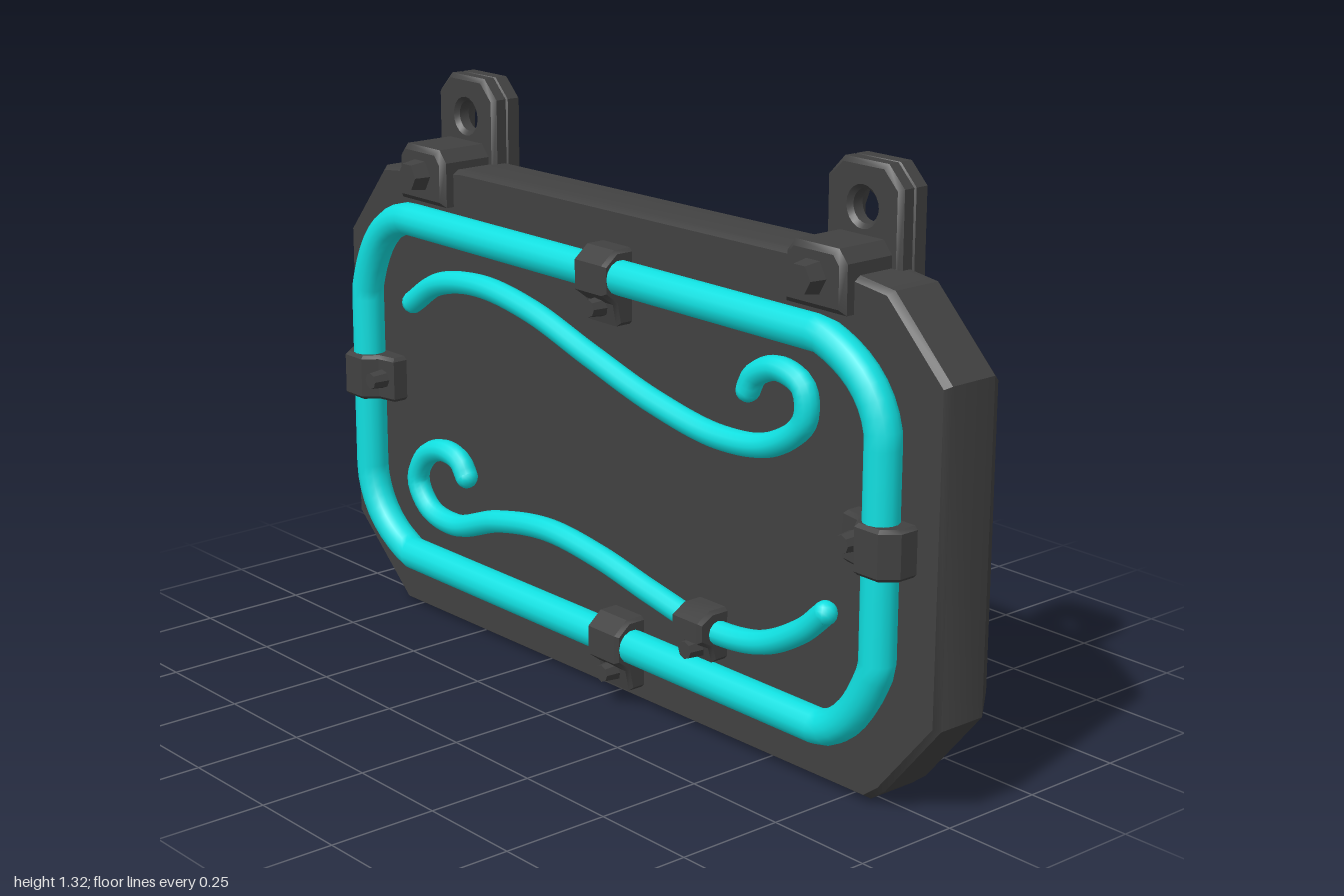
import * as THREE from 'three';
import { toCreasedNormals } from 'three/addons/utils/BufferGeometryUtils.js';

const V = (x, y, z) => new THREE.Vector3(x, y, z);
const shapeOf = pts => new THREE.Shape(pts.map(p => new THREE.Vector2(p[0], p[1])));

export function createModel() {
  const model = new THREE.Group();
  const metal = new THREE.MeshStandardMaterial({ color: 0x414141 });
  metal.name = 'dark metal';
  const neon = new THREE.MeshStandardMaterial({ color: 0x10dfe0 });
  neon.name = 'cyan tubing';

  function add(parent, name, geometry, material = metal, crease = 0.6) {
    const mesh = new THREE.Mesh(crease ? toCreasedNormals(geometry, crease) : geometry, material);
    mesh.name = name;
    parent.add(mesh);
    return mesh;
  }

  // Extrusion with a small bevel, kept between z0 and z1
  function slab(shape, z0, z1, b = 0.01) {
    const g = new THREE.ExtrudeGeometry(shape, {
      depth: z1 - z0 - 2 * b, bevelEnabled: true, bevelSize: b, bevelOffset: -b,
      bevelThickness: b, bevelSegments: 1, curveSegments: 10
    });
    return g.translate(0, 0, z0 + b);
  }

  // Board: outline lofted through depth, bevelled strongly at the back
  function boardGeometry() {
    const outline = [[-0.8, 0.01], [0.81, 0.02], [0.85, 0.05], [1, 0.23], [1, 0.95], [0.84, 1.11],
      [0.58, 1.145], [-0.55, 1.135], [-0.86, 1.1], [-1, 0.93], [-1, 0.78], [-0.965, 0.74],
      [-0.965, 0.37], [-1, 0.33], [-1, 0.19]];
    const layers = [[-0.145, 0.045], [-0.085, 0], [0.035, 0], [0.05, 0.01]];
    const n = outline.length, pos = [], idx = [];
    for (const [z, inset] of layers)
      for (const [x, y] of outline)
        pos.push(x * (1 - inset), 0.575 + (y - 0.575) * (1 - inset / 0.57), z);
    for (let i = 0; i < layers.length - 1; i++)
      for (let j = 0; j < n; j++) {
        const k = (j + 1) % n, a = i * n, b = a + n;
        idx.push(a + j, a + k, b + k, a + j, b + k, b + j);
      }
    const top = (layers.length - 1) * n;
    const caps = THREE.ShapeUtils.triangulateShape(outline.map(p => new THREE.Vector2(...p)), []);
    for (const [a, b, c] of caps) idx.push(a, c, b, top + a, top + b, top + c);
    const g = new THREE.BufferGeometry();
    g.setAttribute('position', new THREE.Float32BufferAttribute(pos, 3));
    g.setIndex(idx);
    return g;
  }
  add(model, 'board', boardGeometry());

  // Border tube: straight runs joined by softened corners
  const zf = 0.084;
  const corners = [ // start, control, end, control
    [[-0.72, 0.16], [0.7, 0.16], [0.8, 0.175], [0.865, 0.34]],
    [[0.865, 0.34], [0.865, 0.83], [0.845, 0.95], [0.69, 1]],
    [[0.69, 1], [-0.71, 1], [-0.84, 0.98], [-0.885, 0.8]],
    [[-0.885, 0.8], [-0.885, 0.34], [-0.865, 0.21], [-0.72, 0.16]]
  ];
  const border = new THREE.CurvePath();
  for (const [a, b, c, d] of corners) {
    border.add(new THREE.LineCurve3(V(...a, zf), V(...b, zf)));
    border.add(new THREE.QuadraticBezierCurve3(V(...b, zf), V(...c, zf), V(...d, zf)));
  }
  add(model, 'borderTube', new THREE.TubeGeometry(border, 160, 0.039, 14, true), neon, 0);

  // Curled tubes with rounded ends
  function curl(name, pts) {
    const path = pts.map(p => V(p[0], p[1], 0.076));
    const group = new THREE.Group();
    group.name = name;
    model.add(group);
    const curve = new THREE.CatmullRomCurve3(path);
    add(group, 'curlTube', new THREE.TubeGeometry(curve, 110, 0.027, 12), neon, 0);
    for (const end of [path[0], path[path.length - 1]])
      add(group, 'tubeEnd', new THREE.SphereGeometry(0.027, 12, 8), neon, 0).position.copy(end);
  }
  curl('upperCurl', [[-0.71, 0.795], [-0.61, 0.857], [-0.45, 0.884], [-0.26, 0.862], [-0.045, 0.8],
    [0.17, 0.742], [0.38, 0.712], [0.54, 0.734], [0.635, 0.805], [0.63, 0.875], [0.555, 0.9],
    [0.485, 0.87], [0.465, 0.835]]);
  curl('lowerCurl', [[-0.51, 0.405], [-0.535, 0.438], [-0.6, 0.45], [-0.67, 0.42], [-0.705, 0.353],
    [-0.66, 0.29], [-0.555, 0.273], [-0.39, 0.325], [-0.205, 0.353], [-0.02, 0.337], [0.17, 0.3],
    [0.356, 0.272], [0.517, 0.29], [0.64, 0.353], [0.705, 0.41]]);

  // Clamp: a hump over the tube and a bolted flange pointing along (dx, dy)
  function clamp(name, x, y, dx, dy, width, s = 1) {
    const group = new THREE.Group();
    group.name = name;
    model.add(group);
    const profile = shapeOf([[-0.066, 0.04], [-0.066, 0.095], [-0.036, 0.131], [0.03, 0.131],
      [0.055, 0.098], [0.105, 0.088], [0.105, 0.04]].map(([u, z]) => [u * s, z]));
    add(group, 'strap', slab(profile, -width / 2, width / 2, 0.008));
    const bolt = add(group, 'bolt', new THREE.CylinderGeometry(0.02, 0.025, 0.05, 8));
    bolt.position.set(0.066 * s, 0.106, 0);
    const d = V(dx, dy, 0), z = V(0, 0, 1);
    group.quaternion.setFromRotationMatrix(
      new THREE.Matrix4().makeBasis(d, z, d.clone().cross(z)));
    group.position.set(x, y, 0);
  }
  clamp('topClamp', 0.012, 0.995, 0, -1, 0.105);
  clamp('bottomClamp', 0.053, 0.157, 0, -1, 0.105);
  clamp('rightClamp', -0.885, 0.585, 1, 0, 0.11);
  clamp('leftClamp', 0.867, 0.597, -1, 0, 0.11);
  clamp('curlClamp', 0.333, 0.277, 0, -1, 0.095, 0.7);

  // Hanging brackets: holed plate, arched back rim, ramp, foot and hex bolt
  function hanger(name, x) {
    const group = new THREE.Group();
    group.name = name;
    group.position.x = x;
    model.add(group);
    const outer = [[-0.107, 1.04], [0.107, 1.04], [0.107, 1.285], [0.062, 1.33],
      [-0.062, 1.33], [-0.107, 1.285]];
    const plate = shapeOf(outer);
    plate.holes.push(new THREE.Path().absarc(0, 1.235, 0.036, 0, Math.PI * 2, true));
    add(group, 'eyePlate', slab(plate, -0.1, -0.054));

    const rim = shapeOf([...outer.slice(1), outer[0], [-0.07, 1.04], [-0.064, 1.22],
      [-0.045, 1.27], [0, 1.29], [0.045, 1.27], [0.064, 1.22], [0.07, 1.04]]);
    add(group, 'backRim', slab(rim, -0.135, -0.09, 0.007));

    const ramp = new THREE.ExtrudeGeometry(
      shapeOf([[0.09, 1.04], [0.132, 1.04], [0.132, 1.08], [0.095, 1.185], [0.09, 1.185]]),
      { depth: 0.136, bevelEnabled: false });
    ramp.rotateY(Math.PI / 2).translate(-0.068, 0, 0);
    add(group, 'ramp', ramp);

    const foot = shapeOf([[-0.086, 1.045], [0.086, 1.045], [0.086, 1.15], [0.062, 1.178],
      [-0.062, 1.178], [-0.086, 1.15]]);
    add(group, 'foot', slab(foot, -0.07, 0.082, 0.012));

    const bolt = add(group, 'hexBolt', new THREE.CylinderGeometry(0.033, 0.04, 0.045, 6));
    bolt.geometry.rotateY(Math.PI / 6).rotateX(Math.PI / 2);
    bolt.position.set(0, 1.113, 0.098);
  }
  hanger('rightHanger', -0.662);
  hanger('leftHanger', 0.656);

  return model;
}
